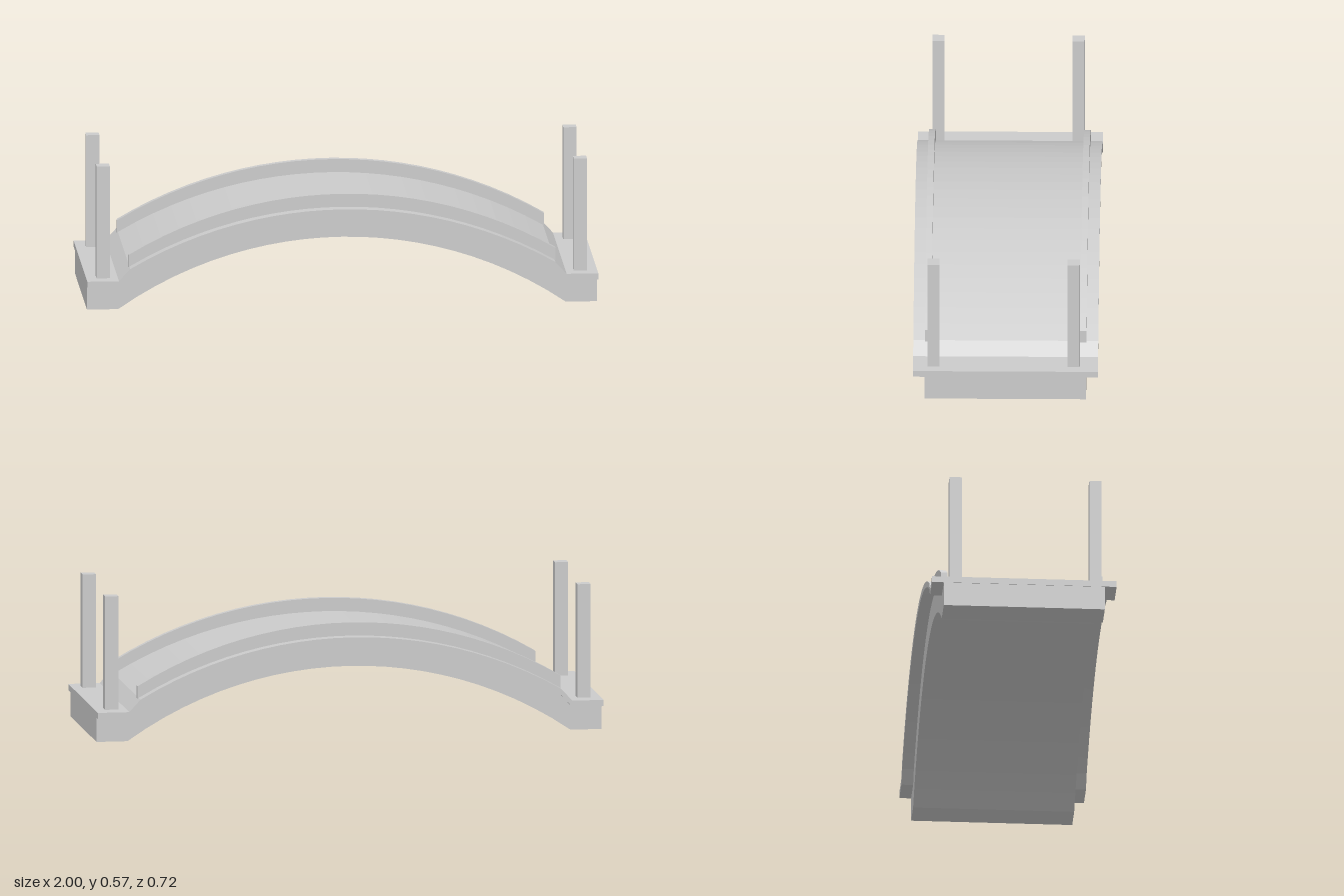
import * as THREE from 'three';

const SEGMENTS = 24;

// Circular rise: height `top` at x = 0, falling to `end` at x = half
function arch(half, top, end) {
  const drop = top - end;
  const r = (half * half + drop * drop) / (2 * drop);
  return Array.from({ length: SEGMENTS + 1 }, (_, i) => {
    const x = -half + (2 * half * i) / SEGMENTS;
    return [x, top - r + Math.sqrt(r * r - x * x)];
  });
}

// Walking line with flat landings, short ramps and the arch between
function deckLine(dy, reach = 1) {
  const mid = arch(0.832, 0.395 + dy, 0.17 + dy);
  const y = 0.122 + dy;
  return [[-reach, y], [-0.876, y], ...mid, [0.876, y], [reach, y]];
}

export function createModel() {
  const group = new THREE.Group();
  group.name = 'archedFootbridge';
  const material = new THREE.MeshStandardMaterial({ color: 0xcccccc, flatShading: true });

  function add(name, geometry, x = 0, y = 0, z = 0) {
    const mesh = new THREE.Mesh(geometry, material);
    mesh.name = name;
    mesh.position.set(x, y, z);
    group.add(mesh);
  }

  // Solid between a lower and an upper line, centred in depth
  function band(lower, upper, depth) {
    const points = [...lower, ...[...upper].reverse()].map(([x, y]) => new THREE.Vector2(x, y));
    return new THREE.ExtrudeGeometry(new THREE.Shape(points), { depth, bevelEnabled: false })
      .translate(0, 0, -depth / 2);
  }

  // Arched body below the deck, with straight feet
  const soffit = [[-0.998, 0], ...arch(0.876, 0.275, 0), [0.998, 0]];
  add('archBody', band(soffit, deckLine(-0.025, 0.998), 0.63));

  // Overhanging deck slab
  add('deck', band(deckLine(-0.025), deckLine(0), 0.722));

  // Curbs along both edges of the arch
  const curbLower = arch(0.836, 0.385, 0.16);
  const curbUpper = arch(0.836, 0.447, 0.216);
  for (const side of [1, -1]) {
    add(side > 0 ? 'frontCurb' : 'backCurb', band(curbLower, curbUpper, 0.025), 0, 0, side * 0.303);
  }

  // Four square corner posts
  for (const x of [0.95, -0.95].map((v) => v * 0.983)) {
    for (const z of [0.281, -0.266]) {
      const name = (z > 0 ? 'front' : 'back') + (x > 0 ? 'Left' : 'Right') + 'Post';
      add(name, new THREE.BoxGeometry(0.052, 0.455, 0.048), x, 0.3425, z);
    }
  }
  return group;
}
